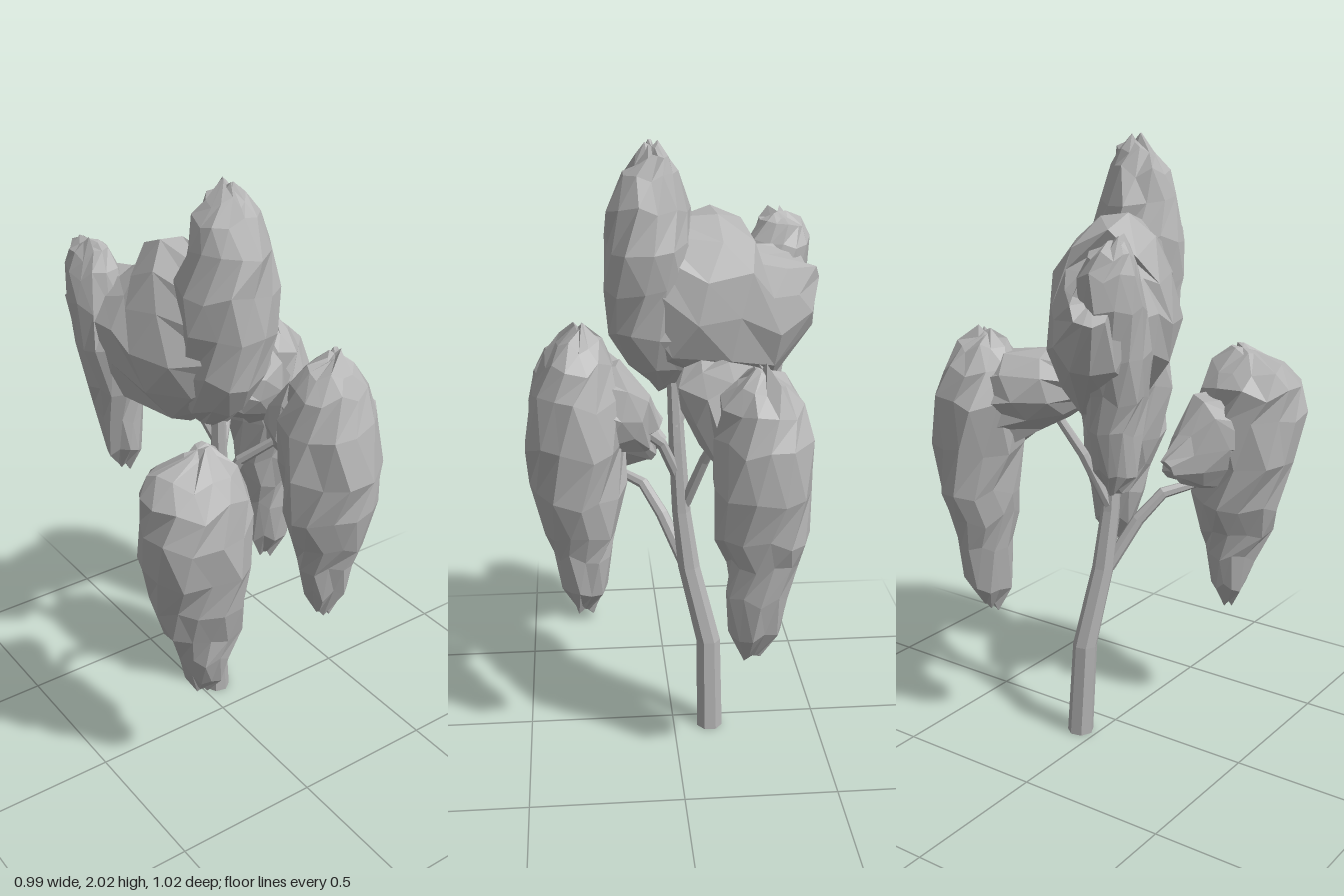
import * as THREE from 'three';

const UP = new THREE.Vector3(0, 1, 0);

// Small seeded generator returning -1..1
function makeRandom(seed) {
  let s = seed;
  return () => {
    s = (s * 16807) % 2147483647;
    return (s / 2147483647) * 2 - 1;
  };
}

// Closed loft through rings [x, y, z, side radius, other radius].
// Upright rings stay horizontal (x radius, z radius), listed bottom to top;
// otherwise they stand square to the path (sideways radius, vertical radius).
function loft(rings, { sides = 12, rough = 0, seed = 1, upright = false }) {
  const rnd = makeRandom(seed * 7919 + 13);
  const centres = rings.map(r => new THREE.Vector3(r[0], r[1], r[2]));
  const pos = [], index = [];
  const n = rings.length;
  rings.forEach((r, i) => {
    const dir = centres[Math.min(i + 1, n - 1)].clone().sub(centres[Math.max(i - 1, 0)]).normalize();
    let u, v, ru = r[3], rv = r[4];
    if (upright) {
      u = new THREE.Vector3(0, 0, 1);
      v = new THREE.Vector3(1, 0, 0);
      [ru, rv] = [r[4], r[3]];
    } else {
      u = new THREE.Vector3().crossVectors(UP, dir);
      if (u.lengthSq() < 0.001) u.set(0, 0, 1);
      u.normalize();
      v = new THREE.Vector3().crossVectors(dir, u);
    }
    for (let j = 0; j < sides; j++) {
      const a = ((j + (i % 2) * 0.5 * Math.sign(rough) + rnd() * rough) / sides) * Math.PI * 2;
      const k = 1 + rnd() * rough;
      const p = centres[i].clone()
        .addScaledVector(u, Math.cos(a) * ru * k)
        .addScaledVector(v, Math.sin(a) * rv * k)
        .addScaledVector(dir, rnd() * rough * 0.2);
      pos.push(p.x, p.y, p.z);
    }
  });
  for (let i = 0; i < n - 1; i++) {
    for (let j = 0; j < sides; j++) {
      const a = i * sides + j, b = i * sides + (j + 1) % sides;
      const c = b + sides, d = a + sides;
      index.push(a, b, c, a, c, d);
    }
  }
  // End caps
  const first = n * sides, last = first + 1, top = (n - 1) * sides;
  pos.push(...centres[0].toArray(), ...centres[n - 1].toArray());
  for (let j = 0; j < sides; j++) {
    const k = (j + 1) % sides;
    index.push(first, k, j, last, top + j, top + k);
  }
  const g = new THREE.BufferGeometry();
  g.setAttribute('position', new THREE.Float32BufferAttribute(pos, 3));
  g.setIndex(index);
  g.computeVertexNormals();
  return g;
}

export function createModel() {
  const model = new THREE.Group();
  const grey = new THREE.MeshStandardMaterial({ color: 0xb4b4b4, flatShading: true });
  grey.name = 'grey';

  const add = (name, rings, options) => {
    const mesh = new THREE.Mesh(loft(rings, options), grey);
    mesh.name = name;
    model.add(mesh);
  };

  // Bent trunk and thin branches
  const wood = { sides: 7 };
  add('trunk', [
    [-0.125, 0, -0.06, 0.045, 0.045], [-0.12, 0.33, -0.042, 0.042, 0.042],
    [-0.055, 0.6, -0.012, 0.038, 0.038], [-0.03, 0.8, 0, 0.032, 0.032],
    [-0.015, 1.05, 0.005, 0.028, 0.028], [0, 1.4, 0.02, 0.02, 0.02],
  ], { sides: 7, upright: true });
  add('frontBranch', [
    [-0.045, 0.6, 0, 0.024, 0.024], [0.03, 0.76, 0.07, 0.022, 0.022],
    [0.09, 0.85, 0.13, 0.02, 0.02], [0.2, 0.88, 0.22, 0.015, 0.015],
  ], wood);
  add('backLeftBranch', [
    [-0.015, 0.93, 0, 0.02, 0.02], [0.04, 1.06, -0.04, 0.018, 0.018], [0.16, 1.18, -0.13, 0.014, 0.014],
  ], wood);
  add('backRightBranch', [
    [-0.04, 0.82, 0, 0.02, 0.02], [-0.1, 1.0, -0.06, 0.018, 0.018], [-0.17, 1.18, -0.15, 0.014, 0.014],
  ], wood);
  add('upperBranch', [
    [-0.01, 1.1, 0, 0.02, 0.02], [-0.07, 1.22, 0.04, 0.018, 0.018], [-0.16, 1.34, 0.09, 0.014, 0.014],
  ], wood);

  // Drooping foliage masses, bottom to top
  const pods = {
    frontLeftFoliage: [
      [0.29, 0.43, 0.28, 0.02, 0.02], [0.29, 0.5, 0.28, 0.07, 0.055], [0.3, 0.61, 0.285, 0.095, 0.09],
      [0.3, 0.69, 0.29, 0.1, 0.125], [0.3, 0.81, 0.3, 0.145, 0.155], [0.315, 0.95, 0.315, 0.15, 0.18],
      [0.315, 1.1, 0.325, 0.155, 0.18], [0.31, 1.2, 0.33, 0.15, 0.16], [0.31, 1.27, 0.32, 0.11, 0.13],
      [0.3, 1.33, 0.3, 0.03, 0.04],
    ],
    backLeftFoliage: [
      [0.3, 0.55, -0.2, 0.025, 0.025], [0.3, 0.64, -0.21, 0.07, 0.07], [0.3, 0.76, -0.2, 0.09, 0.095],
      [0.31, 0.85, -0.195, 0.12, 0.12], [0.315, 0.97, -0.19, 0.145, 0.155], [0.315, 1.13, -0.185, 0.155, 0.168],
      [0.315, 1.28, -0.185, 0.145, 0.16], [0.31, 1.39, -0.18, 0.105, 0.125], [0.3, 1.45, -0.18, 0.065, 0.08],
      [0.3, 1.5, -0.2, 0.015, 0.02],
    ],
    backRightFoliage: [
      [-0.23, 0.44, -0.36, 0.025, 0.025], [-0.235, 0.53, -0.365, 0.08, 0.075], [-0.24, 0.68, -0.365, 0.1, 0.09],
      [-0.25, 0.78, -0.365, 0.11, 0.105], [-0.25, 0.88, -0.37, 0.14, 0.13], [-0.25, 1.03, -0.37, 0.155, 0.145],
      [-0.25, 1.18, -0.36, 0.155, 0.155], [-0.25, 1.29, -0.355, 0.125, 0.125], [-0.245, 1.36, -0.35, 0.08, 0.08],
      [-0.24, 1.4, -0.35, 0.02, 0.02],
    ],
    frontRightFoliage: [
      [-0.29, 0.97, 0.2, 0.03, 0.025], [-0.29, 1.05, 0.205, 0.07, 0.06], [-0.3, 1.17, 0.205, 0.09, 0.075],
      [-0.3, 1.29, 0.21, 0.105, 0.09], [-0.32, 1.42, 0.22, 0.11, 0.1], [-0.36, 1.56, 0.23, 0.11, 0.1],
      [-0.375, 1.66, 0.24, 0.095, 0.085], [-0.38, 1.72, 0.25, 0.07, 0.06], [-0.37, 1.755, 0.25, 0.03, 0.03],
    ],
    topFoliage: [
      [0, 1.23, 0.04, 0.05, 0.05], [0.02, 1.31, 0.045, 0.12, 0.1], [0.05, 1.42, 0.04, 0.145, 0.135],
      [0.06, 1.56, 0.035, 0.15, 0.155], [0.07, 1.7, 0.035, 0.145, 0.155], [0.075, 1.82, 0.035, 0.13, 0.13],
      [0.07, 1.91, 0.035, 0.09, 0.095], [0.06, 1.965, 0.03, 0.055, 0.06], [0.06, 2, 0.03, 0.02, 0.02],
    ],
  };
  Object.entries(pods).forEach(([name, rings], i) =>
    add(name, rings, { sides: 12, rough: 0.11, seed: i + 3, upright: true }));

  // Foliage arms joining the masses to the trunk
  add('frontLeftArm', [
    [0.04, 0.95, 0.19, 0.035, 0.05], [0.11, 0.98, 0.22, 0.07, 0.11],
    [0.19, 1.03, 0.26, 0.1, 0.16], [0.3, 1.06, 0.32, 0.11, 0.16],
  ], { sides: 10, rough: 0.12, seed: 21 });
  add('backLeftArm', [
    [0.08, 1.13, -0.15, 0.03, 0.06], [0.14, 1.18, -0.16, 0.08, 0.11],
    [0.21, 1.22, -0.17, 0.11, 0.16], [0.3, 1.22, -0.18, 0.12, 0.15],
  ], { sides: 10, rough: 0.12, seed: 22 });
  add('backRightArm', [
    [-0.11, 1.27, -0.02, 0.1, 0.08], [-0.15, 1.25, -0.12, 0.155, 0.12],
    [-0.19, 1.21, -0.22, 0.15, 0.14], [-0.23, 1.14, -0.33, 0.13, 0.15],
  ], { sides: 10, rough: 0.08, seed: 23 });
  add('topBridge', [
    [0.09, 1.58, 0.03, 0.12, 0.2], [-0.04, 1.54, 0.06, 0.18, 0.29], [-0.16, 1.47, 0.1, 0.195, 0.28],
    [-0.27, 1.46, 0.14, 0.17, 0.25], [-0.37, 1.52, 0.19, 0.125, 0.18], [-0.45, 1.59, 0.23, 0.06, 0.09],
  ], { sides: 12, rough: 0.08, seed: 24 });

  return model;
}
